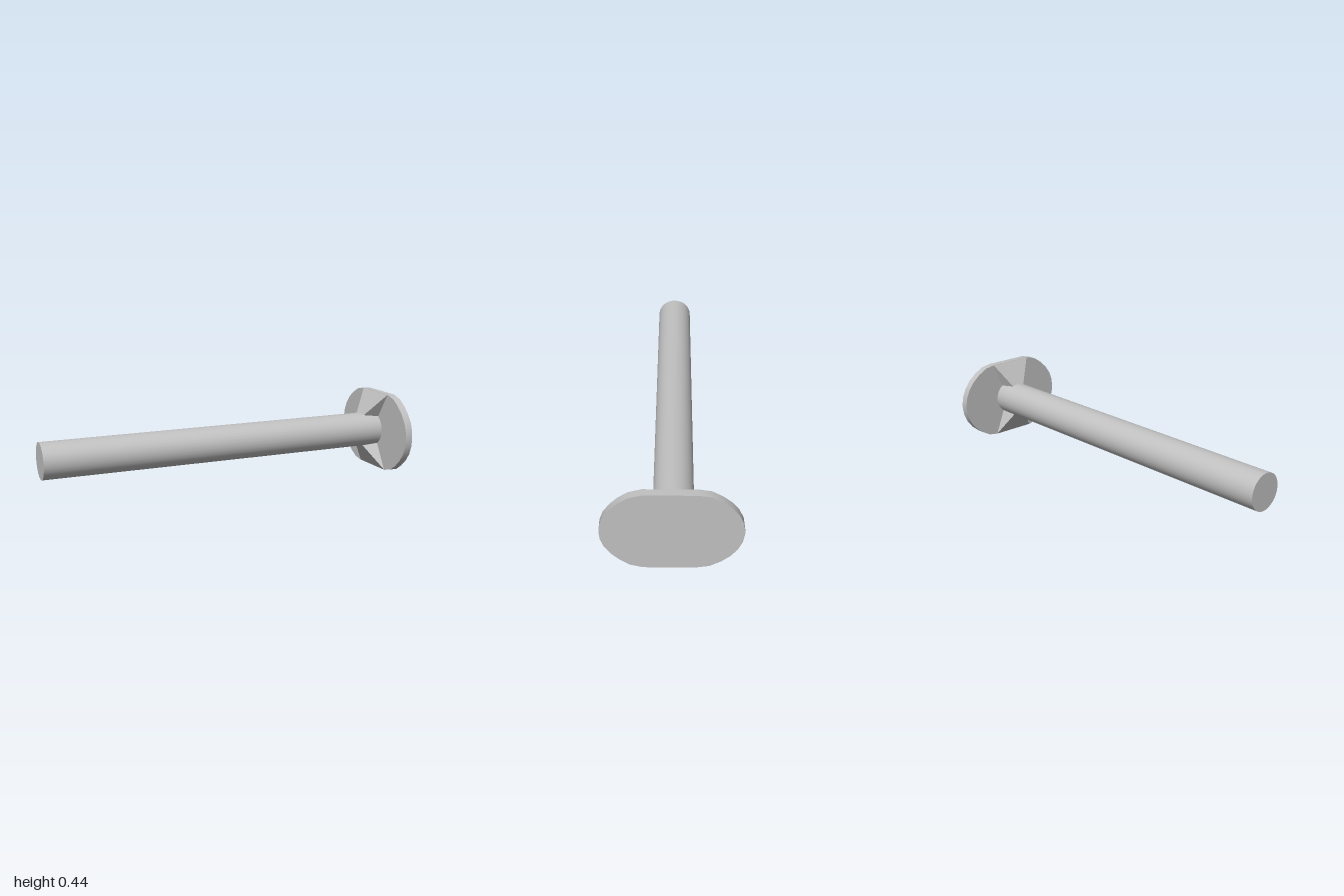
import * as THREE from 'three';
import { toCreasedNormals } from 'three/addons/utils/BufferGeometryUtils.js';
import { ConvexGeometry } from 'three/addons/geometries/ConvexGeometry.js';

const CENTER_Y = 0.222, CENTER_Z = -0.006;
const PLATE_X = 0.958;

export function createModel() {
  const model = new THREE.Group();
  const metal = new THREE.MeshStandardMaterial({ color: 0xc0c0c0 });
  metal.name = 'light grey metal';

  const add = (name, geometry) => {
    const mesh = new THREE.Mesh(geometry, metal);
    mesh.name = name;
    model.add(mesh);
    return mesh;
  };

  // Long round shaft along x
  const shaftLength = PLATE_X + 1;
  const shaft = add('shaft', new THREE.CylinderGeometry(0.097, 0.097, shaftLength, 32).rotateZ(Math.PI / 2));
  shaft.position.set(-1 + shaftLength / 2, CENTER_Y, CENTER_Z);

  // End plate: upper half outline as (z, height above middle), mirrored below
  const upper = [
    [0.331, 0], [0.327, 0.043], [0.311, 0.089], [0.28, 0.134], [0.24, 0.173],
    [0.195, 0.204], [0.135, 0.221], [-0.115, 0.221], [-0.175, 0.211], [-0.227, 0.181],
    [-0.27, 0.145], [-0.301, 0.104], [-0.322, 0.056], [-0.331, 0],
  ];
  const lower = upper.slice(1, -1).reverse().map(([z, h]) => [z, -h]);
  const outline = [...upper, ...lower].map(([z, h]) => new THREE.Vector2(z, h + 0.221));
  const plateGeometry = new THREE.ExtrudeGeometry(new THREE.Shape(outline), {
    depth: 1 - PLATE_X, bevelEnabled: false,
  }).rotateY(-Math.PI / 2);
  add('endPlate', toCreasedNormals(plateGeometry, 0.6)).position.x = 1;

  // Flared gussets joining shaft and plate, above and below
  for (const side of [1, -1]) {
    const points = [];
    for (const s of [1, -1]) {
      points.push(
        new THREE.Vector3(0.87, CENTER_Y + side * 0.09, CENTER_Z + s * 0.039),
        new THREE.Vector3(PLATE_X, 0.221 + side * 0.22, 0.008 + s * 0.125),
        new THREE.Vector3(PLATE_X, CENTER_Y + side * 0.08, CENTER_Z + s * 0.055),
      );
    }
    add(side > 0 ? 'upperGusset' : 'lowerGusset', new ConvexGeometry(points));
  }

  return model;
}
